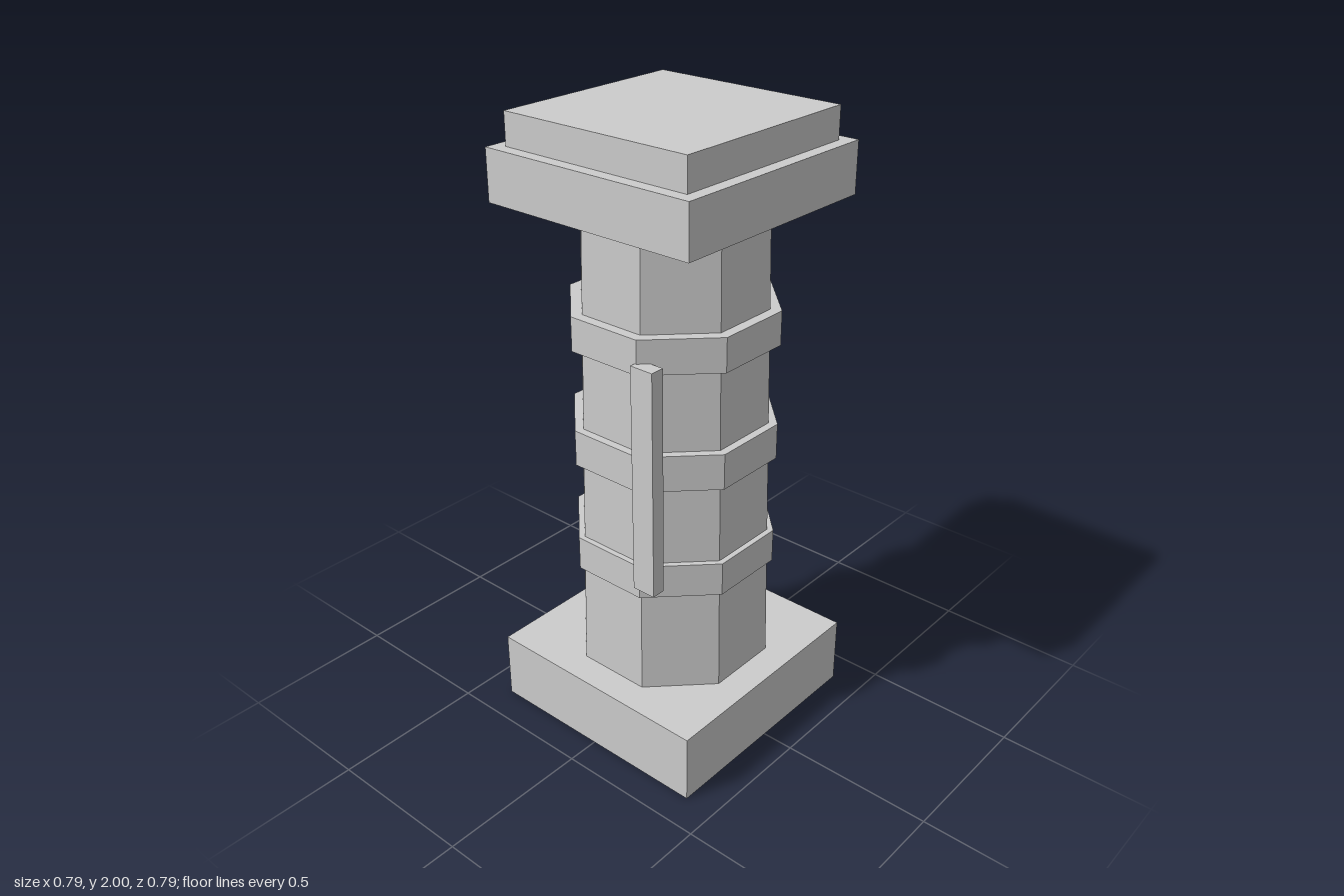
import * as THREE from 'three';

export function createModel() {
  const group = new THREE.Group();
  const stone = new THREE.MeshStandardMaterial({ color: 0xcccccc, flatShading: true });
  stone.name = 'stoneGrey';

  const add = (name, geometry, x, y, z) => {
    const mesh = new THREE.Mesh(geometry, stone);
    mesh.name = name;
    mesh.position.set(x, y, z);
    group.add(mesh);
  };

  // Box given by its lower and upper height
  const slab = (name, w, d, y0, y1, x = 0, z = 0) =>
    add(name, new THREE.BoxGeometry(w, y1 - y0, d), x, (y0 + y1) / 2, z);

  // Octagonal prism with a flat side facing front; sizes are centre-to-flat distances
  const octagon = (name, bottom, top, y0, y1) => {
    const k = 1 / Math.cos(Math.PI / 8);
    const geometry = new THREE.CylinderGeometry(top * k, bottom * k, y1 - y0, 8);
    geometry.rotateY(Math.PI / 8);
    add(name, geometry, 0, (y0 + y1) / 2, 0);
  };

  // Square base and stepped cap
  slab('base', 0.79, 0.79, 0, 0.23);
  slab('capLower', 0.74, 0.74, 1.74, 1.9);
  slab('capUpper', 0.66, 0.66, 1.9, 2);

  // Tapered shaft with three collars
  octagon('shaft', 0.296, 0.266, 0.23, 1.74);
  [[0.58, 0.692], [0.952, 1.069], [1.329, 1.438]].forEach(([y0, y1], i) =>
    octagon('collar' + (i + 1), 0.305, 0.305, y0, y1));

  // Upright bar on the front, towards the left
  slab('frontBar', 0.08, 0.046, 0.625, 1.365, 0.16, 0.3);

  return group;
}
